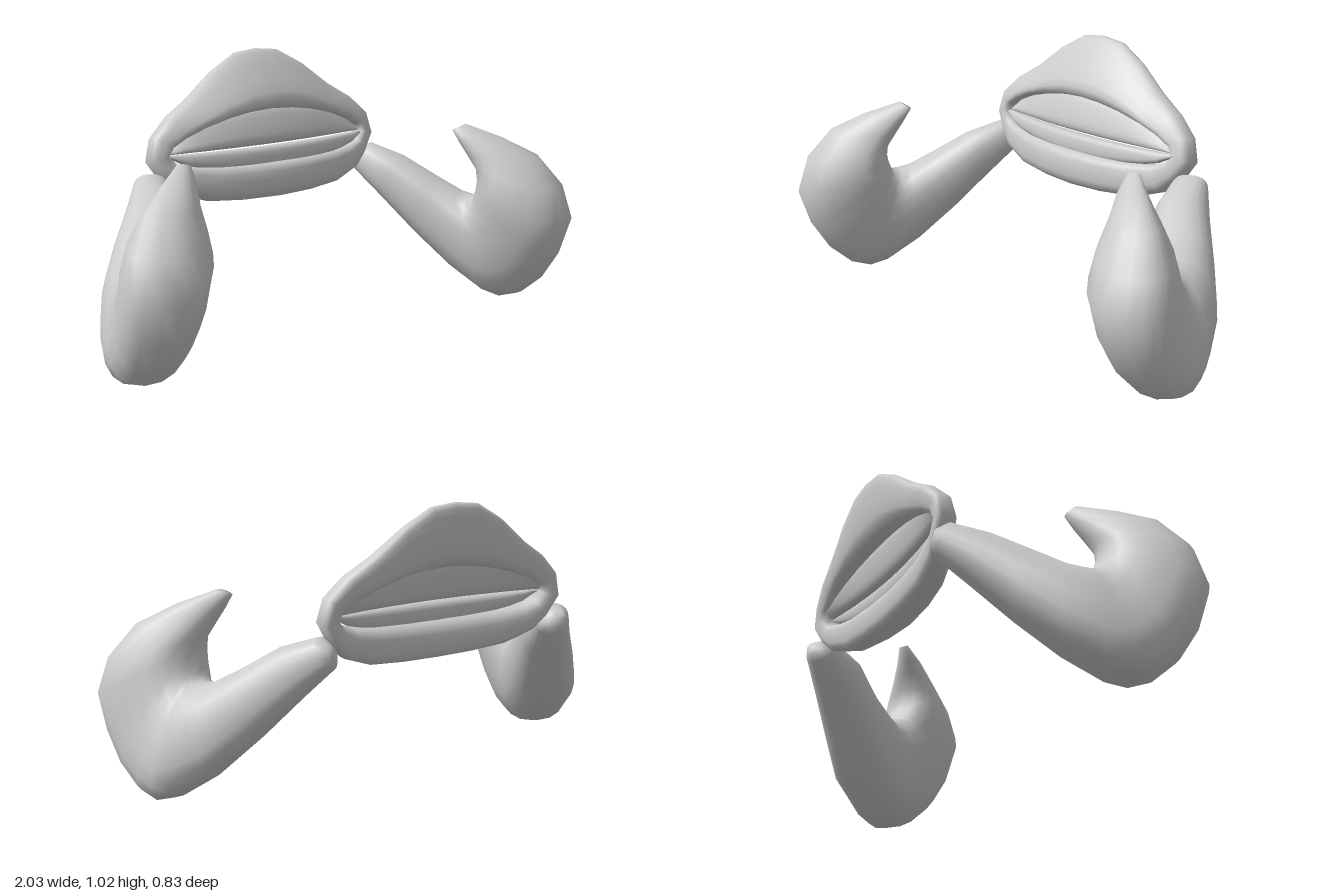
import * as THREE from 'three';

const material = new THREE.MeshStandardMaterial({ color: 0xcccccc, side: THREE.DoubleSide });
const SIDES = 20;

// Skin rounded sections. Station: [outer xyz, inner xyz, half thickness, thickness direction, taper to outer]
function loft(stations, closed, power = 0.85) {
  const pos = [], idx = [], n = stations.length;
  const soft = (v) => Math.sign(v) * Math.pow(Math.abs(v), power);
  const centres = stations.map(([o, i, h, dir, taper = 0]) => {
    const O = new THREE.Vector3(...o), I = new THREE.Vector3(...i);
    const c = O.clone().add(I).multiplyScalar(0.5);
    const a = O.sub(I).multiplyScalar(0.5);
    const b = new THREE.Vector3(...dir).normalize().multiplyScalar(h);
    for (let k = 0; k < SIDES; k++) {
      const t = (k / SIDES) * Math.PI * 2, u = soft(Math.cos(t));
      const p = c.clone().addScaledVector(a, u).addScaledVector(b, soft(Math.sin(t)) * (1 - taper * u));
      pos.push(p.x, p.y, p.z);
    }
    return c;
  });
  for (let s = 0; s < (closed ? n : n - 1); s++) {
    for (let k = 0; k < SIDES; k++) {
      const k2 = (k + 1) % SIDES, r0 = s * SIDES, r1 = ((s + 1) % n) * SIDES;
      idx.push(r0 + k, r1 + k, r1 + k2, r0 + k, r1 + k2, r0 + k2);
    }
  }
  if (!closed) {
    // Fan caps at both ends
    const first = n * SIDES, last = first + 1, r = (n - 1) * SIDES;
    pos.push(...centres[0].toArray(), ...centres[n - 1].toArray());
    for (let k = 0; k < SIDES; k++) {
      const k2 = (k + 1) % SIDES;
      idx.push(first, k, k2, last, r + k2, r + k);
    }
  }
  // Turn the faces outwards if the signed volume is negative
  const at = (j) => new THREE.Vector3().fromArray(pos, j * 3);
  let volume = 0;
  for (let f = 0; f < idx.length; f += 3) volume += at(idx[f]).dot(at(idx[f + 1]).cross(at(idx[f + 2])));
  if (volume < 0) idx.reverse();
  const g = new THREE.BufferGeometry();
  g.setAttribute('position', new THREE.Float32BufferAttribute(pos, 3));
  g.setIndex(idx);
  g.computeVertexNormals();
  return g;
}

const flip = ([x, y, z]) => [-x, y, z];
const mirror = ([o, i, h, d, taper]) => [flip(o), flip(i), h, flip(d), taper];

function add(group, name, geometry) {
  const mesh = new THREE.Mesh(geometry, material);
  mesh.name = name;
  group.add(mesh);
}

export function createModel() {
  const group = new THREE.Group();
  group.name = 'clawedShell';

  // Leaning shell ring around the mouth, wedge-shaped on top, top centre round to bottom centre
  const lean = [0, 0.17, 1];
  const half = [
    [[0, 1.022, -0.397], [0, 0.795, -0.312], 0.056, lean, 0.55],
    [[0.1, 1.012, -0.395], [0.1, 0.79, -0.312], 0.056, lean, 0.55],
    [[0.21, 0.953, -0.387], [0.2, 0.775, -0.314], 0.055, lean, 0.5],
    [[0.33, 0.862, -0.373], [0.3, 0.75, -0.318], 0.052, lean, 0.38],
    [[0.43, 0.802, -0.36], [0.38, 0.72, -0.322], 0.046, lean, 0.2],
    [[0.505, 0.732, -0.348], [0.435, 0.69, -0.325], 0.042, lean, 0.1],
    [[0.525, 0.645, -0.34], [0.455, 0.66, -0.325], 0.042, lean, 0],
    [[0.475, 0.57, -0.325], [0.425, 0.63, -0.318], 0.045, lean, 0],
    [[0.42, 0.52, -0.308], [0.37, 0.615, -0.308], 0.051, lean, 0],
    [[0.3, 0.48, -0.285], [0.27, 0.607, -0.288], 0.058, lean, 0],
    [[0.15, 0.468, -0.268], [0.13, 0.604, -0.272], 0.066, lean, 0],
    [[0, 0.465, -0.26], [0, 0.604, -0.265], 0.07, lean, 0],
  ];
  const ring = [...half, ...half.slice(1, -1).reverse().map(mirror)];
  add(group, 'shellRing', loft(ring, true, 0.7));

  // Two tapering lips that meet along the middle of the mouth
  const lip = (topY, topZ, bottomY, bottomZ, thick, taper) => {
    const rows = [];
    for (let s = -8; s <= 8; s++) {
      const u = s / 8, w = Math.sqrt(1 - 0.98 * u * u), z = -0.045 * u * u;
      const y = (v) => 0.666 + (v - 0.666) * w;
      rows.push([[u * 0.45, y(topY), topZ + z], [u * 0.45, y(bottomY), bottomZ + z], thick * (0.3 + 0.7 * w), lean, taper]);
    }
    return loft(rows, false, 0.7);
  };
  add(group, 'upperLip', lip(0.81, -0.312, 0.669, -0.275, 0.03, 0.2));
  add(group, 'lowerLip', lip(0.665, -0.27, 0.585, -0.262, 0.034, 0));

  // Arm swelling down and forward, then hooking up into a pointed claw
  const side = [0.85, 0, -0.53], bend = [0.9, 0, -0.43], hook = [0.87, 0, -0.45];
  const claw = [
    [[0.495, 0.525, -0.383], [0.51, 0.58, -0.375], 0.032, side],
    [[0.49, 0.495, -0.365], [0.525, 0.605, -0.325], 0.066, side],
    [[0.56, 0.39, -0.28], [0.59, 0.56, -0.2], 0.096, side],
    [[0.655, 0.245, -0.17], [0.68, 0.48, -0.1], 0.118, side],
    [[0.755, 0.11, -0.06], [0.735, 0.425, -0.01], 0.14, side],
    [[0.83, 0.02, 0.06], [0.755, 0.415, 0.03], 0.145, bend],
    [[0.865, 0.0, 0.125], [0.75, 0.42, 0.06], 0.148, bend],
    [[0.89, 0.025, 0.2], [0.74, 0.43, 0.08], 0.148, hook],
    [[0.915, 0.1, 0.285], [0.73, 0.445, 0.092], 0.148, hook],
    [[0.93, 0.21, 0.355], [0.725, 0.47, 0.105], 0.15, hook],
    [[0.94, 0.345, 0.4], [0.72, 0.505, 0.115], 0.152, hook],
    [[0.92, 0.48, 0.365], [0.71, 0.55, 0.115], 0.13, hook],
    [[0.86, 0.6, 0.285], [0.675, 0.6, 0.1], 0.09, hook],
    [[0.76, 0.67, 0.19], [0.64, 0.655, 0.082], 0.055, hook],
    [[0.66, 0.722, 0.09], [0.62, 0.7, 0.063], 0.022, hook],
  ];
  add(group, 'leftClaw', loft(claw, false));
  add(group, 'rightClaw', loft(claw.map(mirror), false));
  return group;
}
